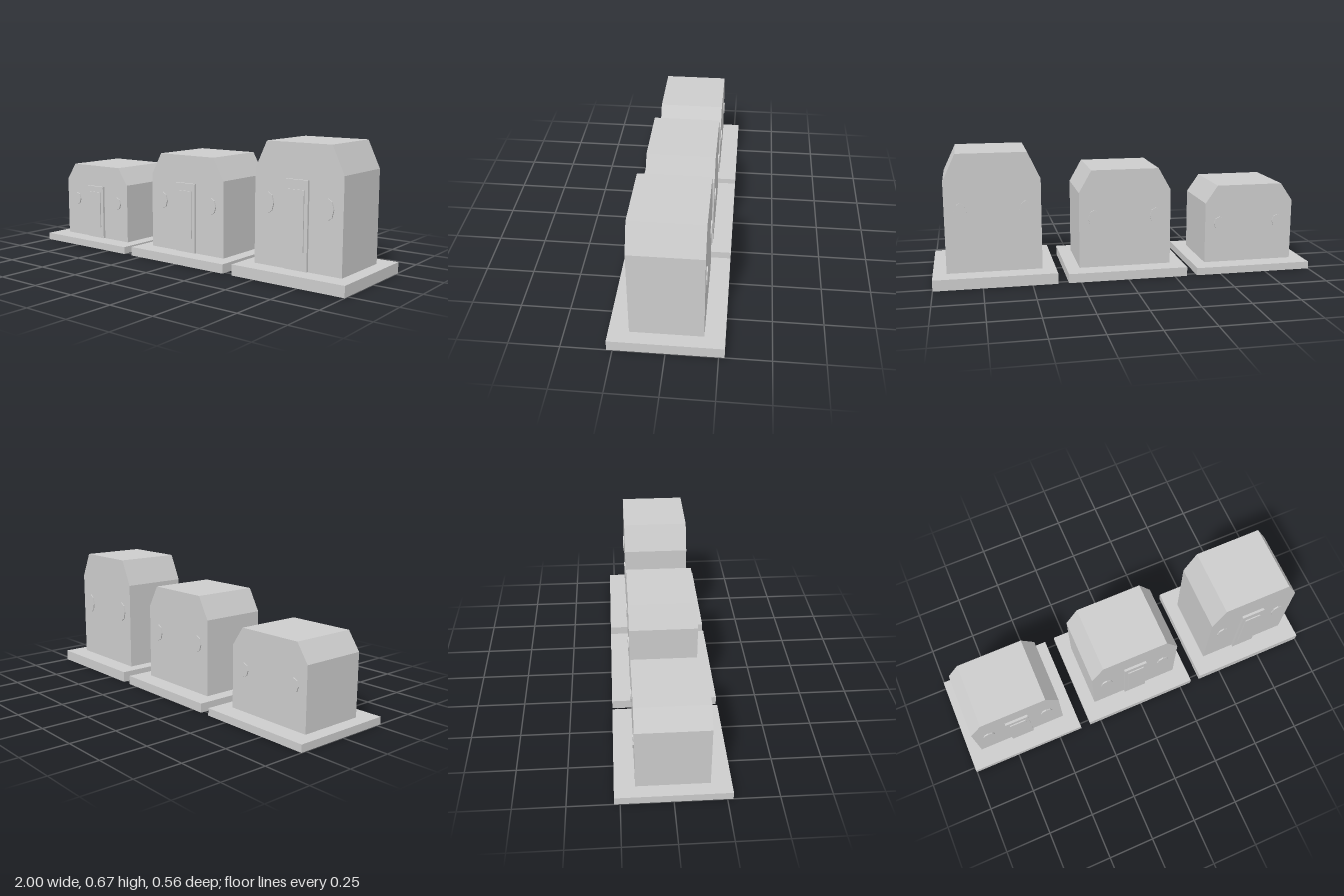
import * as THREE from 'three';

export function createModel() {
  const model = new THREE.Group();
  model.name = 'threeHuts';
  const grey = new THREE.MeshStandardMaterial({ color: 0xcccccc, flatShading: true });
  grey.name = 'plain grey';

  const add = (parent, name, geometry, x, y, z) => {
    const mesh = new THREE.Mesh(geometry, grey);
    mesh.name = name;
    mesh.position.set(x, y, z);
    parent.add(mesh);
  };

  // Box given by its width, its bottom and top, and its back and front
  const slab = (parent, name, w, y0, y1, z0, z1) =>
    add(parent, name, new THREE.BoxGeometry(w, y1 - y0, z1 - z0), 0, (y0 + y1) / 2, (z0 + z1) / 2);

  // House end wall with chamfered roof corners, extruded front to back
  const outline = new THREE.Shape([
    [-0.245, 0.057], [0.245, 0.057], [0.245, 0.534],
    [0.179, 0.673], [-0.179, 0.673], [-0.245, 0.534],
  ].map(([x, y]) => new THREE.Vector2(x, y)));
  const bodyGeometry = new THREE.ExtrudeGeometry(outline, { depth: 0.356, bevelEnabled: false });

  // Eight-sided oval window disc
  const windowGeometry = new THREE.CylinderGeometry(1, 1, 1, 8)
    .rotateX(Math.PI / 2).scale(0.032, 0.0535, 0.007);

  const makeHut = () => {
    const hut = new THREE.Group();
    slab(hut, 'base', 0.63, 0, 0.057, -0.278, 0.278);
    add(hut, 'body', bodyGeometry, 0, 0, -0.178);
    slab(hut, 'door', 0.126, 0.059, 0.499, 0.178, 0.191);
    slab(hut, 'doorPanel', 0.088, 0.152, 0.452, 0.191, 0.197);
    for (const side of [-1, 1]) {
      add(hut, 'frontWindow', windowGeometry, side * 0.165, 0.3715, 0.1815);
      add(hut, 'backWindow', windowGeometry, side * 0.165, 0.3715, -0.1805);
    }
    return hut;
  };

  // Same hut three times, growing in height from one end to the other
  [['smallHut', -0.685, 0.684], ['middleHut', 0, 0.842], ['tallHut', 0.685, 1]].forEach(([name, x, height]) => {
    const hut = makeHut();
    hut.name = name;
    hut.position.x = x;
    hut.scale.y = height;
    model.add(hut);
  });
  return model;
}
